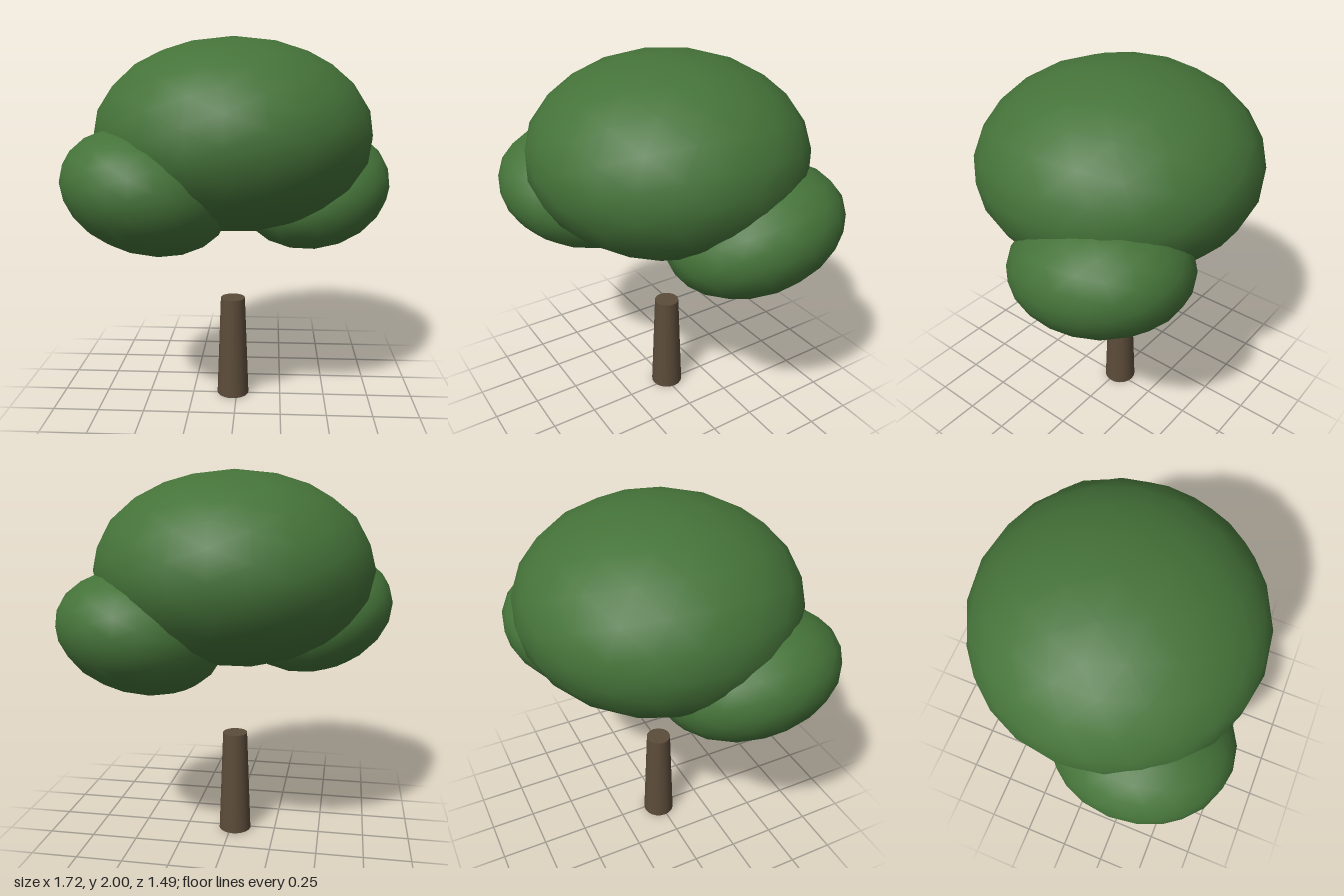
import * as THREE from 'three';

const leafGreen = new THREE.MeshStandardMaterial({ color: 0x457339 });
const barkBrown = new THREE.MeshStandardMaterial({ color: 0x5c4c3a });
leafGreen.name = 'leafGreen';
barkBrown.name = 'barkBrown';

// Smooth squashed ball filling the given extents; tilt leans its height along x and z
function leafClump(name, min, max, tiltX = 0, tiltZ = 0) {
  const geometry = new THREE.IcosahedronGeometry(1, 3);
  const [rx, ry, rz] = max.map((v, i) => (v - min[i]) / 2);
  const [cx, cy, cz] = max.map((v, i) => (v + min[i]) / 2);
  // Reduce the height so the tilted ball still fits its extents
  const h = Math.sqrt(ry * ry - (tiltX * rx) ** 2 - (tiltZ * rz) ** 2);
  geometry.applyMatrix4(new THREE.Matrix4().set(
    rx, 0, 0, cx,
    tiltX * rx, h, tiltZ * rz, cy,
    0, 0, rz, cz,
    0, 0, 0, 1
  ));
  const mesh = new THREE.Mesh(geometry, leafGreen);
  mesh.name = name;
  return mesh;
}

export function createModel() {
  const tree = new THREE.Group();
  tree.name = 'tree';

  // Tapered trunk, standing free below the crown
  const trunk = new THREE.Mesh(new THREE.CylinderGeometry(0.068, 0.09, 0.575, 20), barkBrown);
  trunk.name = 'trunk';
  trunk.position.set(-0.022, 0.2875, -0.013);
  tree.add(trunk);

  // Large crown with two lower clumps at opposite corners
  tree.add(leafClump('crown', [-0.755, 0.98, -0.745], [0.722, 2.0, 0.72]));
  tree.add(leafClump('frontRightClump', [-0.865, 0.895, -0.19], [-0.015, 1.555, 0.745], -0.14, 0.08));
  tree.add(leafClump('backLeftClump', [0.0, 0.84, -0.715], [0.858, 1.505, 0.22], 0.1, -0.12));
  return tree;
}
